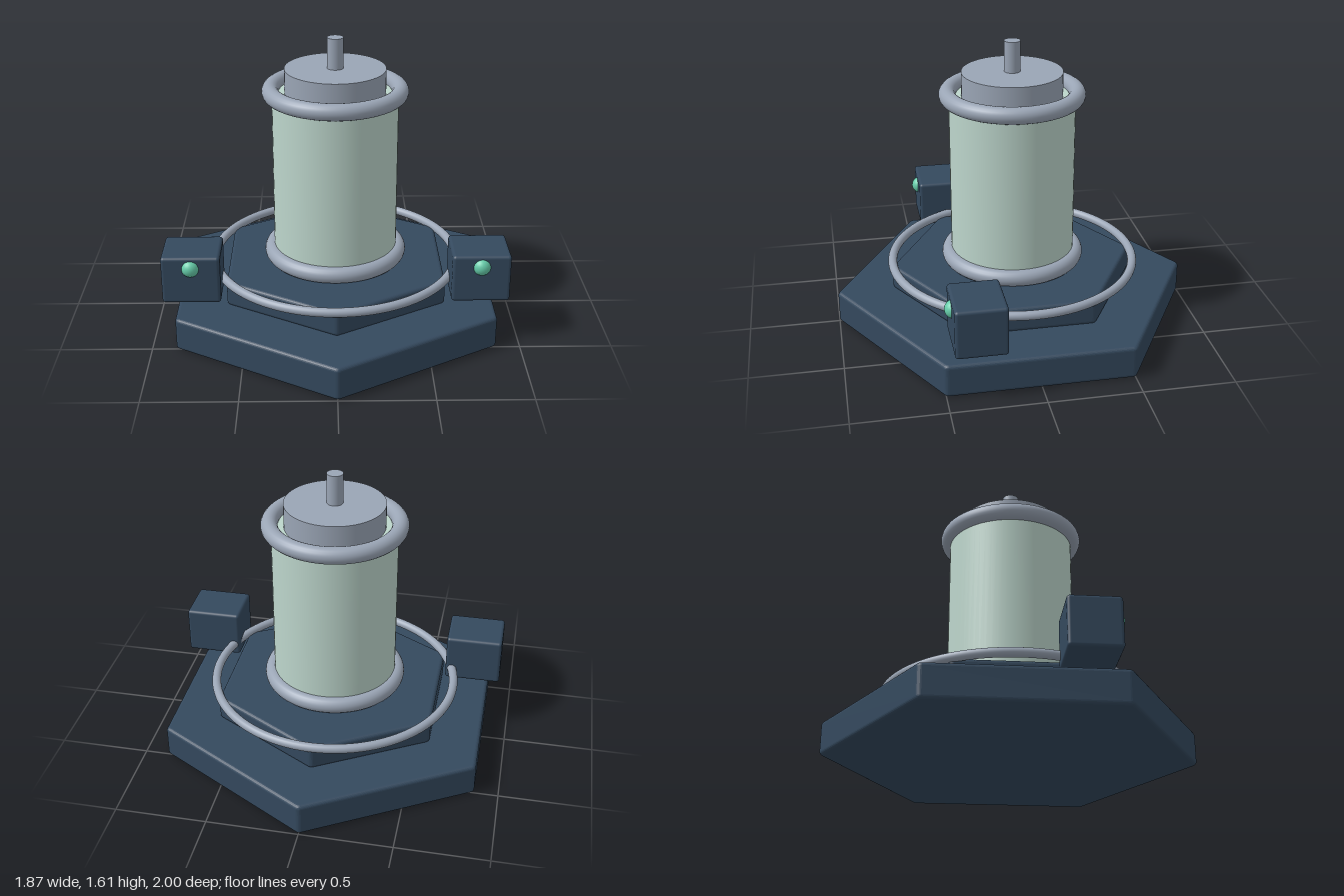
import * as THREE from 'three';
import { RoundedBoxGeometry } from 'three/addons/geometries/RoundedBoxGeometry.js';

const mat = (name, color) => {
  const m = new THREE.MeshStandardMaterial({ color });
  m.name = name;
  return m;
};

// Hexagonal slab with softened corners, pointing along z, standing on y = 0
function hexSlab(radius, height) {
  const bevel = 0.02, fillet = 0.03;
  const shape = new THREE.Shape();
  const core = radius - fillet / Math.cos(Math.PI / 6);
  for (let i = 0; i < 6; i++) {
    const a = Math.PI / 2 + i * Math.PI / 3;
    for (let k = 0; k <= 4; k++) {
      const b = a + (k / 4 - 0.5) * Math.PI / 3;
      const x = core * Math.cos(a) + fillet * Math.cos(b);
      const y = core * Math.sin(a) + fillet * Math.sin(b);
      if (i + k === 0) shape.moveTo(x, y);
      else shape.lineTo(x, y);
    }
  }
  shape.closePath();
  const geo = new THREE.ExtrudeGeometry(shape, {
    depth: height - 2 * bevel, bevelEnabled: true, bevelThickness: bevel,
    bevelSize: bevel, bevelOffset: -bevel, bevelSegments: 5,
  });
  geo.translate(0, 0, bevel);
  geo.rotateX(-Math.PI / 2);
  return geo;
}

export function createModel() {
  const model = new THREE.Group();
  model.name = 'hexBaseDevice';
  const navy = mat('navy', 0x34495e);
  const metal = mat('greyMetal', 0x9aa5b5);
  const paleGreen = mat('paleGreen', 0xbdd6cc);
  const lampGreen = mat('lampGreen', 0x66cdaa);

  const add = (name, geo, material, x, y, z, parent = model) => {
    const mesh = new THREE.Mesh(geo, material);
    mesh.name = name;
    mesh.position.set(x, y, z);
    parent.add(mesh);
    return mesh;
  };
  const rod = (name, r, y0, y1, material) =>
    add(name, new THREE.CylinderGeometry(r, r, y1 - y0, 64), material, 0, (y0 + y1) / 2, 0);
  const ring = (name, r, tube, y) =>
    add(name, new THREE.TorusGeometry(r, tube, 20, 96).rotateX(Math.PI / 2), metal, 0, y, 0);

  // Stepped base
  add('base', hexSlab(1.003, 0.185), navy, 0, 0, 0);
  add('upperBase', hexSlab(0.69, 0.14), navy, 0, 0.183, 0);
  ring('baseRing', 0.683, 0.025, 0.327);

  // Chamber with collars, cap and pin
  rod('chamber', 0.345, 0.31, 1.3, paleGreen);
  ring('lowerCollar', 0.352, 0.046, 0.37);
  ring('upperCollar', 0.352, 0.046, 1.31);
  rod('cap', 0.275, 1.28, 1.435, metal);
  rod('pin', 0.044, 1.42, 1.605, metal);

  // Side boxes with indicator lamps
  for (const side of [1, -1]) {
    const box = new THREE.Group();
    box.name = side > 0 ? 'leftControl' : 'rightControl';
    box.position.set(side * 0.778, 0.395, 0.322);
    model.add(box);
    add('controlBox', new RoundedBoxGeometry(0.315, 0.27, 0.273, 4, 0.018), navy, 0, 0, 0, box);
    add('lamp', new THREE.SphereGeometry(0.049, 24, 16), lampGreen, 0, 0.07, 0.12, box);
  }
  return model;
}
